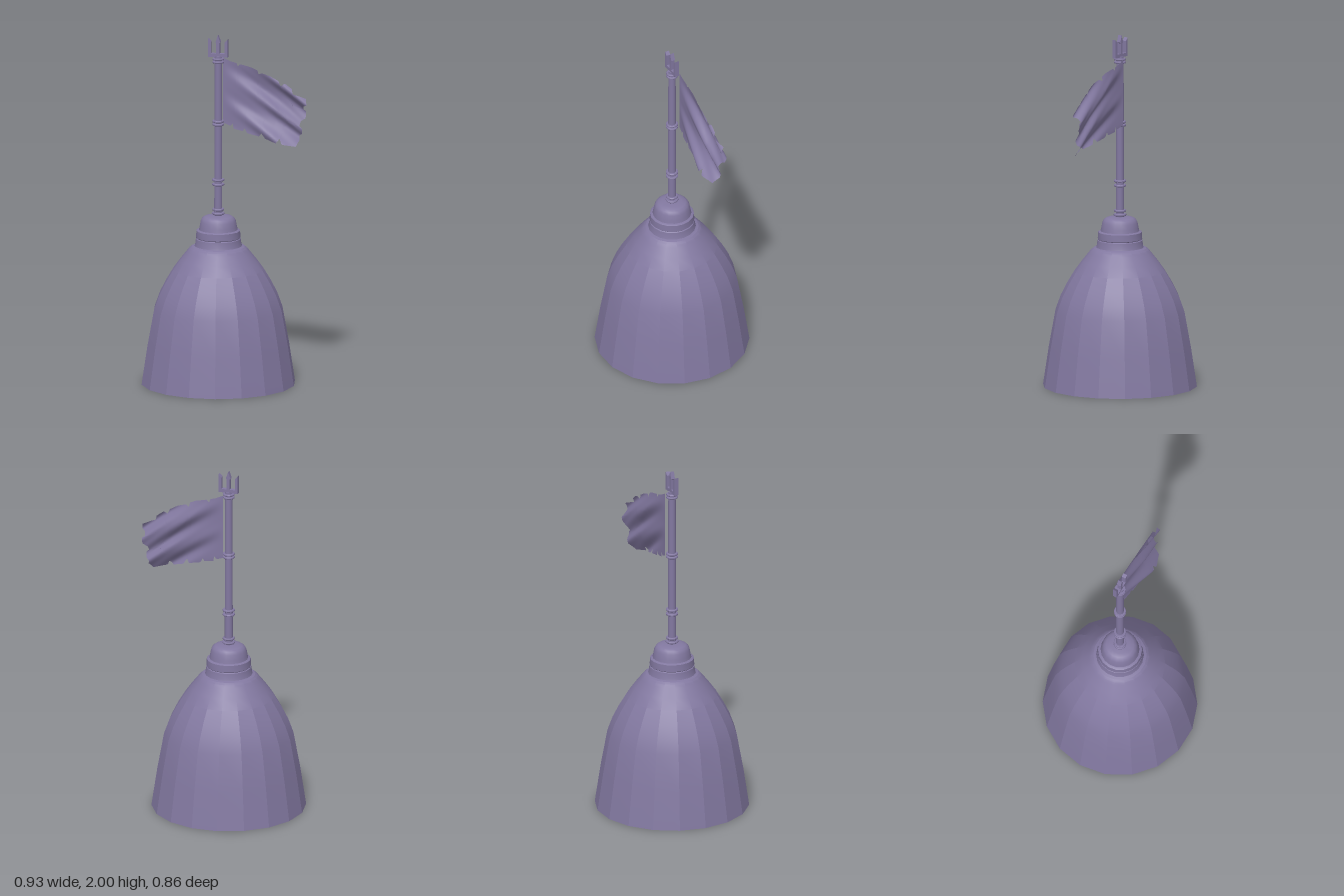
import * as THREE from 'three';
import { toCreasedNormals } from 'three/addons/utils/BufferGeometryUtils.js';

const AXIS_X = -0.033; // the tower and pole stand slightly off centre
const violet = new THREE.MeshStandardMaterial({ color: 0x8278a0, side: THREE.DoubleSide });
violet.name = 'dusty violet';

function add(parent, name, geometry, x = 0, y = 0, z = 0) {
  const mesh = new THREE.Mesh(geometry, violet);
  mesh.name = name;
  mesh.position.set(x, y, z);
  parent.add(mesh);
  return mesh;
}

const lathe = (points, sides, crease) => toCreasedNormals(
  new THREE.LatheGeometry(points.map(p => new THREE.Vector2(...p)), sides, Math.PI / 2), crease);

// Point at fraction t along a polyline of [x, y] pairs, measured by length
function makeEdge(points) {
  const path = new THREE.CurvePath();
  for (let i = 1; i < points.length; i++) {
    path.add(new THREE.LineCurve(new THREE.Vector2(...points[i - 1]), new THREE.Vector2(...points[i])));
  }
  return t => path.getPoint(t);
}

// Height-dependent fan plus diagonal folds that grow toward the free end
function clothDepth(x, y) {
  const u = (x + 0.012) / 0.477;
  const top = 1.865 - 0.46 * u;
  const v = THREE.MathUtils.clamp((top - y) / (0.375 - 0.11 * u), -0.1, 1.1);
  const s = y + 0.5 * x + 0.25 * x * x;
  return -0.035 + u * (0.12 * v - 0.012)
    + 0.017 * Math.min(1, u * 1.6) * Math.sin(s * 40 + 0.8)
    + 0.006 * u * Math.sin(s * 75 + x * 9);
}

// Tattered cloth: a patch blended between four ragged edges
function flagGeometry() {
  const top = makeEdge([[-0.012, 1.865], [0.03, 1.845], [0.065, 1.835], [0.07, 1.815], [0.085, 1.83],
    [0.15, 1.815], [0.185, 1.8], [0.19, 1.775], [0.21, 1.785], [0.26, 1.77], [0.305, 1.745],
    [0.32, 1.715], [0.34, 1.73], [0.38, 1.7], [0.39, 1.67], [0.41, 1.665], [0.46, 1.645]]);
  const bottom = makeEdge([[-0.012, 1.49], [0.03, 1.475], [0.045, 1.49], [0.05, 1.46], [0.105, 1.45],
    [0.115, 1.468], [0.13, 1.44], [0.2, 1.425], [0.215, 1.447], [0.235, 1.415], [0.3, 1.395],
    [0.32, 1.42], [0.335, 1.39], [0.41, 1.375]]);
  const right = makeEdge([[0.46, 1.645], [0.467, 1.61], [0.445, 1.6], [0.44, 1.58], [0.457, 1.57],
    [0.455, 1.53], [0.43, 1.515], [0.425, 1.49], [0.442, 1.475], [0.44, 1.445], [0.42, 1.43],
    [0.425, 1.41], [0.41, 1.375]]);
  const left = makeEdge([[-0.012, 1.865], [-0.012, 1.49]]);
  const geo = new THREE.PlaneGeometry(1, 1, 90, 60);
  const pos = geo.attributes.position;
  const [a, b, c, d] = [top(0), top(1), bottom(0), bottom(1)];
  for (let i = 0; i < pos.count; i++) {
    const u = pos.getX(i) + 0.5, v = 0.5 - pos.getY(i);
    const T = top(u), B = bottom(u), L = left(v), R = right(v);
    const blend = k => (1 - v) * T[k] + v * B[k] + (1 - u) * L[k] + u * R[k]
      - (1 - v) * ((1 - u) * a[k] + u * b[k]) - v * ((1 - u) * c[k] + u * d[k]);
    const x = blend('x'), y = blend('y');
    pos.setXYZ(i, x, y, clothDepth(x, y));
  }
  geo.computeVertexNormals();
  return geo;
}

// Flat upright prong cut from an outline
function prong(points) {
  const geo = new THREE.ExtrudeGeometry(new THREE.Shape(points.map(p => new THREE.Vector2(...p))),
    { depth: 0.024, bevelEnabled: false });
  return geo.translate(0, 0, -0.012);
}

export function createModel() {
  const model = new THREE.Group();
  model.name = 'flagTower';
  const tower = new THREE.Group();
  tower.name = 'tower';
  tower.position.x = AXIS_X;
  model.add(tower);

  // Open bell-shaped roof: faceted below, smoother near the top
  add(tower, 'dome', lathe([[0.435, 0], [0.402, 0.22], [0.364, 0.43], [0.335, 0.51], [0.3, 0.58],
    [0.255, 0.655], [0.215, 0.71], [0.175, 0.76], [0.163, 0.775], [0.15, 0.785], [0.128, 0.792]], 18, 0.29));

  // Stepped collar and rounded cap
  add(tower, 'collar', lathe([[0.136, 0.785], [0.131, 0.8], [0.127, 0.83], [0.122, 0.834],
    [0.126, 0.838], [0.124, 0.877], [0.118, 0.881], [0.108, 0.883]], 18, 0.6));
  add(tower, 'cap', lathe([[0.11, 0.88], [0.106, 0.9], [0.1, 0.93], [0.092, 0.947], [0.078, 0.957],
    [0.055, 0.962], [0, 0.964]], 18, 0.6));

  // Pole with paired rings
  const pole = new THREE.CylinderGeometry(0.021, 0.023, 0.93, 16);
  add(tower, 'pole', pole, 0, 1.415);
  for (const [y, r] of [[0.975, 0.036], [0.998, 0.034], [1.142, 0.035], [1.168, 0.035],
    [1.487, 0.034], [1.505, 0.034], [1.846, 0.033], [1.863, 0.033]]) {
    const h = 0.006;
    add(tower, 'poleRing', lathe([[0.02, y - h], [r - 0.003, y - h], [r, y - h / 2],
      [r, y + h / 2], [r - 0.003, y + h], [0.02, y + h]], 16, 0.6));
  }

  // Three-pronged finial
  const finial = new THREE.Group();
  finial.name = 'finial';
  tower.add(finial);
  add(finial, 'crossbar', new THREE.BoxGeometry(0.112, 0.02, 0.024), 0, 1.885);
  add(finial, 'middleProng', prong([[-0.009, 1.88], [0.009, 1.88], [0.009, 1.955], [0.014, 1.96],
    [0, 2], [-0.014, 1.96], [-0.009, 1.955]]));
  for (const side of [-1, 1]) {
    const outline = [[0.04, 1.876], [0.057, 1.876], [0.057, 1.98], [0.04, 1.962]];
    add(finial, 'sideProng', prong(outline.map(([x, y]) => [side * x, y])));
  }

  // Ragged flag
  add(model, 'flag', flagGeometry());
  return model;
}
